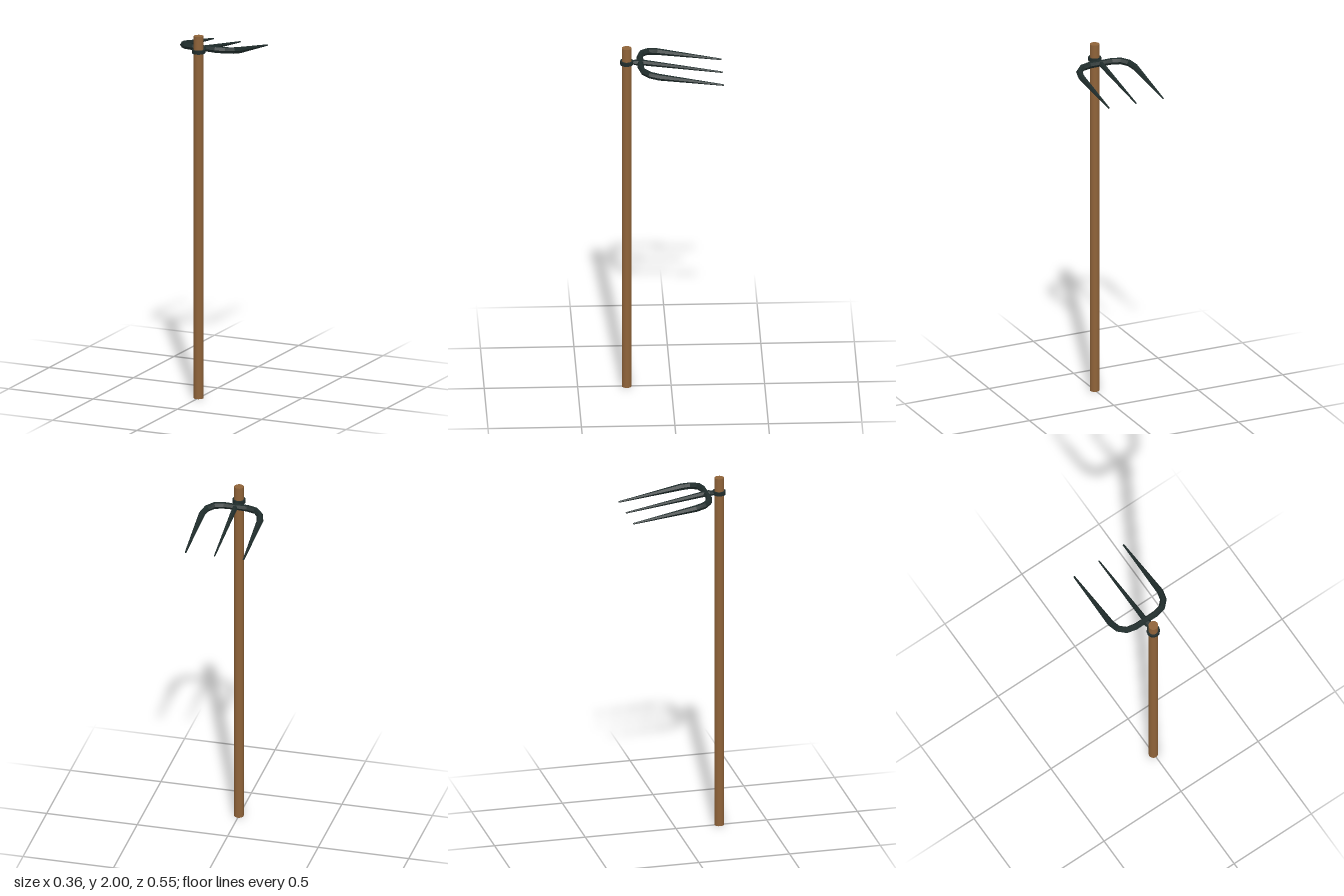
import * as THREE from 'three';

const POLE_Z = 0.238;
const HEAD_Y = 1.915;

// Height of the drooping fork head at depth z
const headY = (z) => HEAD_Y - 0.154 * Math.max(0, 0.165 - z);

// Sweeps a tapered, faceted six-sided bar along stations [x, z, halfWidth, halfHeight]
function sweepBar(stations, material, name, sides = 6) {
  const centres = stations.map(([x, z]) => new THREE.Vector3(x, headY(z), z));
  const positions = [];
  const index = [];
  centres.forEach((c, i) => {
    const before = centres[Math.max(i - 1, 0)];
    const after = centres[Math.min(i + 1, centres.length - 1)];
    const along = after.clone().sub(before).normalize();
    const side = new THREE.Vector3().crossVectors(along, new THREE.Vector3(0, 1, 0)).normalize();
    const up = new THREE.Vector3().crossVectors(side, along);
    const [, , w, h] = stations[i];
    for (let k = 0; k < sides; k++) {
      const a = (k / sides) * Math.PI * 2;
      const p = c.clone().addScaledVector(side, Math.cos(a) * w).addScaledVector(up, Math.sin(a) * h);
      positions.push(p.x, p.y, p.z);
    }
  });
  for (let i = 0; i < stations.length - 1; i++) {
    for (let k = 0; k < sides; k++) {
      const a = i * sides + k;
      const b = i * sides + ((k + 1) % sides);
      index.push(a, b + sides, b, a, a + sides, b + sides);
    }
  }
  // End caps
  const last = (stations.length - 1) * sides;
  for (let k = 1; k < sides - 1; k++) {
    index.push(0, k, k + 1, last, last + k + 1, last + k);
  }
  const indexed = new THREE.BufferGeometry();
  indexed.setAttribute('position', new THREE.Float32BufferAttribute(positions, 3));
  indexed.setIndex(index);
  const geometry = indexed.toNonIndexed();
  geometry.computeVertexNormals();
  const mesh = new THREE.Mesh(geometry, material);
  mesh.name = name;
  return mesh;
}

export function createModel() {
  const wood = new THREE.MeshStandardMaterial({ name: 'wood', color: 0x8f6339 });
  const iron = new THREE.MeshStandardMaterial({ name: 'dark iron', color: 0x1f2c2b });
  const model = new THREE.Group();
  model.name = 'fork';

  // Long wooden pole
  const pole = new THREE.Mesh(new THREE.CylinderGeometry(0.026, 0.026, 2, 16), wood);
  pole.name = 'pole';
  pole.position.set(0, 1, POLE_Z);
  model.add(pole);

  // Iron collar round the pole
  const collar = new THREE.Mesh(new THREE.CylinderGeometry(0.036, 0.036, 0.02, 12), iron);
  collar.name = 'collar';
  collar.position.set(0, HEAD_Y, POLE_Z);
  model.add(collar);

  // Outer tines: one bar bent round from tip to tip
  const half = [
    [0.16, -0.276, 0.005, 0.004],
    [0.16, -0.1, 0.0115, 0.011],
    [0.16, 0.07, 0.018, 0.018],
    [0.147, 0.119, 0.018, 0.018],
    [0.114, 0.153, 0.018, 0.018],
    [0.065, 0.165, 0.018, 0.018],
  ];
  const mirrored = half.map(([x, z, w, h]) => [-x, z, w, h]).reverse();
  model.add(sweepBar([...half, [0, 0.165, 0.017, 0.016], ...mirrored], iron, 'outerTines'));

  // Middle tine, running from the collar to its tip
  model.add(sweepBar([
    [0, 0.212, 0.014, 0.009],
    [0, 0.182, 0.022, 0.016],
    [0, 0.15, 0.015, 0.016],
    [0, -0.06, 0.0095, 0.01],
    [0, -0.276, 0.004, 0.004],
  ], iron, 'middleTine'));

  return model;
}
